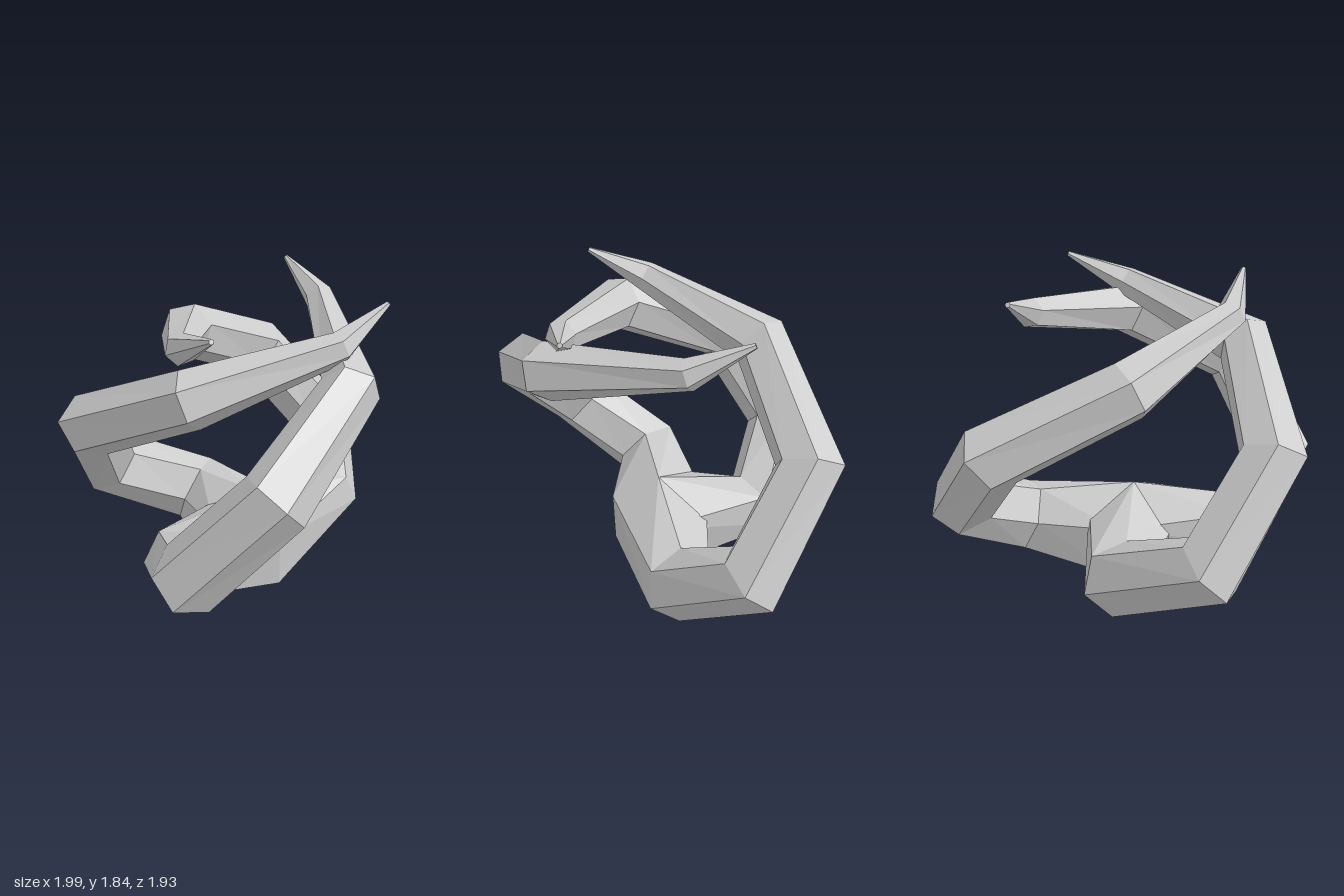
import * as THREE from 'three';

const SIDES = 6;
const RADII = [0.32, 0.208, 0.195, 0.18, 0.155, 0.082, 0.014];
const CORE = new THREE.Vector3(0, 1.1, 0); // every ring points one corner at this

// Three curling arms: centre line from the shared root to the tip
const ARMS = [
  { name: 'frontArm', axis: [-1, 0, 0], path: [[0, 0.33, -0.02], [-0.57, 0.425, 0.1], [-0.725, 0.7, 0.565],
    [-0.37, 1.16, 0.795], [0.22, 1.49, 0.54], [0.51, 1.69, -0.19], [0.48, 1.84, -0.49]] },
  { name: 'backArm', axis: [1, 0, 0], path: [[0, 0.33, -0.02], [0.61, 0.405, -0.175], [0.81, 0.69, -0.545],
    [0.475, 1.165, -0.8], [-0.15, 1.5, -0.54], [-0.49, 1.69, 0.1], [-0.48, 1.84, 0.41]] },
  { name: 'rightArm', axis: [0, 0, -1], path: [[0, 0.33, -0.02], [-0.11, 0.405, -0.59], [-0.625, 0.69, -0.72],
    [-0.83, 1.16, -0.35], [-0.53, 1.495, 0.26], [0.2, 1.685, 0.46], [0.53, 1.83, 0.4]] },
];

// Hexagonal tapering tube with mitred rings and closed ends
function armGeometry({ axis, path }) {
  const pts = path.map((p) => new THREE.Vector3(...p));
  const last = pts.length - 1;
  const dir = (i) => pts[i + 1].clone().sub(pts[i]).normalize();
  const positions = [];
  const index = [];

  pts.forEach((p, i) => {
    const t = i === 0 ? new THREE.Vector3(...axis)
      : i === last ? dir(i - 1) : dir(i - 1).add(dir(i)).normalize();
    const u = CORE.clone().sub(p);
    u.addScaledVector(t, -u.dot(t)).normalize();
    const v = t.clone().cross(u);
    for (let j = 0; j < SIDES; j++) {
      const a = (j / SIDES) * Math.PI * 2;
      const q = p.clone()
        .addScaledVector(u, Math.cos(a) * RADII[i])
        .addScaledVector(v, Math.sin(a) * RADII[i]);
      positions.push(q.x, q.y, q.z);
    }
  });

  for (let i = 0; i < last; i++) {
    for (let j = 0; j < SIDES; j++) {
      const k = (j + 1) % SIDES;
      const a = i * SIDES + j, b = i * SIDES + k;
      index.push(a, b, b + SIDES, a, b + SIDES, a + SIDES);
    }
  }
  // End caps
  const tip = last * SIDES;
  for (let j = 1; j < SIDES - 1; j++) {
    index.push(0, j + 1, j, tip, tip + j, tip + j + 1);
  }

  const geometry = new THREE.BufferGeometry();
  geometry.setAttribute('position', new THREE.Float32BufferAttribute(positions, 3));
  geometry.setIndex(index);
  const flat = geometry.toNonIndexed();
  flat.computeVertexNormals();
  return flat;
}

export function createModel() {
  const group = new THREE.Group();
  group.name = 'curledArms';
  const material = new THREE.MeshStandardMaterial({ color: 0xcccccc, flatShading: true });
  for (const arm of ARMS) {
    const mesh = new THREE.Mesh(armGeometry(arm), material);
    mesh.name = arm.name;
    group.add(mesh);
  }
  return group;
}
